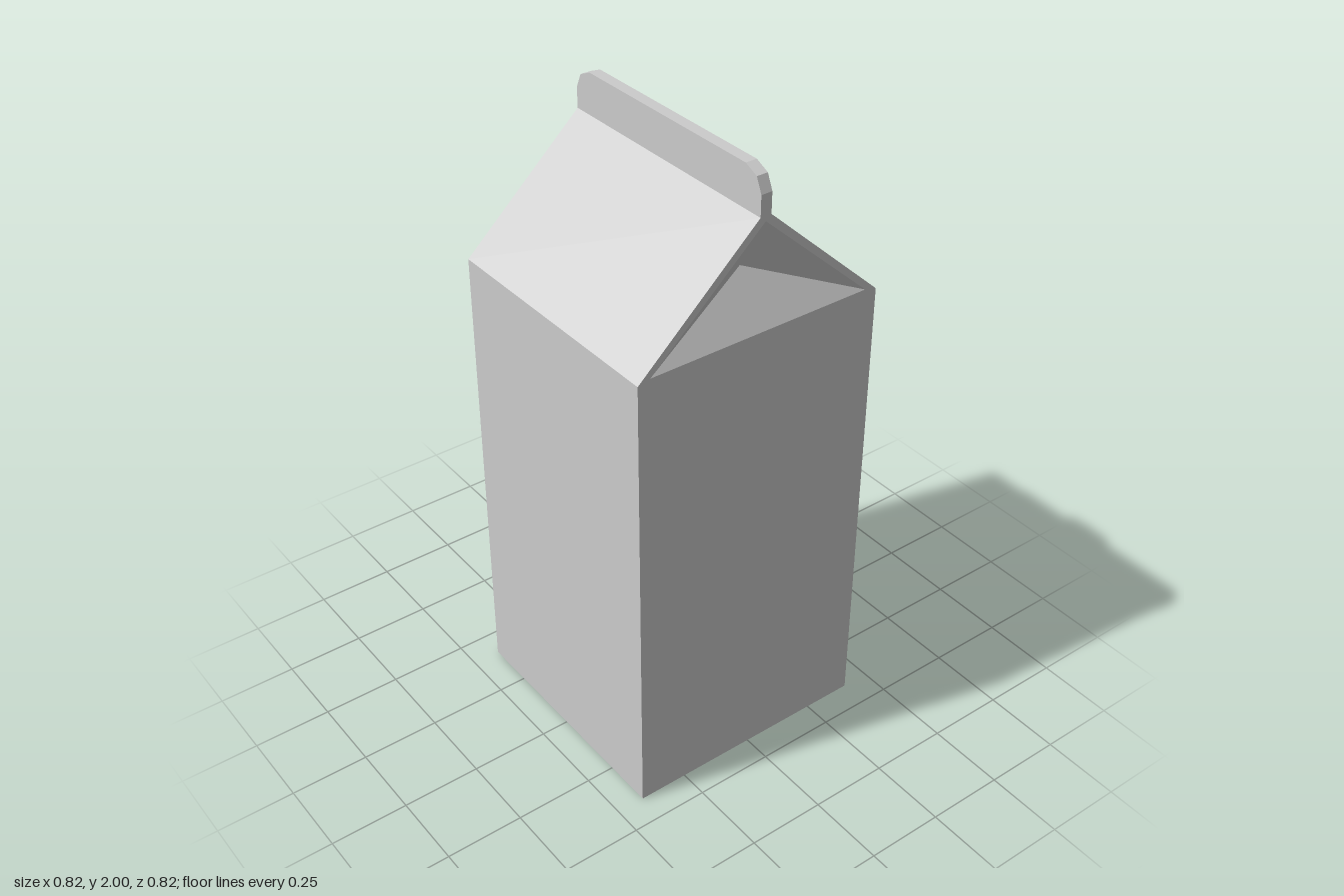
import * as THREE from 'three';

const HALF = 0.41;        // half width of the carton
const EAVE = 1.51;        // top of the walls
const RIDGE = 1.87;       // foot of the sealed fin
const FIN = 0.018;        // half thickness of the fin

const material = new THREE.MeshStandardMaterial({ color: 0xcccccc, flatShading: true });

function mesh(name, geometry, parent) {
  const m = new THREE.Mesh(geometry, material);
  m.name = name;
  parent.add(m);
  return m;
}

// Flat-shaded surface from a list of triangles, each with three corners
function triangles(list) {
  const g = new THREE.BufferGeometry();
  g.setAttribute('position', new THREE.Float32BufferAttribute(list.flat(2), 3));
  g.computeVertexNormals();
  return g;
}

function shapeOf(points) {
  return new THREE.Shape(points.map(([x, y]) => new THREE.Vector2(x, y)));
}

// One roof slope with one gable end; turned half round it gives the other pair
function roofHalf(name) {
  const half = new THREE.Group();
  half.name = name;

  // sloping panel
  const a = [-HALF, EAVE, HALF], b = [HALF, EAVE, HALF];
  const c = [HALF, RIDGE, FIN], d = [-HALF, RIDGE, FIN];
  mesh('roofPanel', triangles([[a, b, c], [a, c, d]]), half);

  // thin rim around the gable opening
  const rim = shapeOf([[-HALF, EAVE], [HALF, EAVE], [FIN, RIDGE], [-FIN, RIDGE]]);
  rim.holes.push(shapeOf([[-0.37, 1.52], [0, 1.855], [0.37, 1.52]]));
  const rimGeometry = new THREE.ShapeGeometry(rim).rotateY(Math.PI / 2).translate(HALF, 0, 0);
  mesh('gableRim', rimGeometry, half);

  // folded-in gusset
  const l = [HALF, 1.52, 0.37], r = [HALF, 1.52, -0.37];
  const top = [HALF, 1.855, 0], fold = [HALF - 0.1, 1.68, 0];
  mesh('gableFold', triangles([[l, r, fold], [l, fold, top], [fold, r, top]]), half);
  return half;
}

export function createModel() {
  const carton = new THREE.Group();
  carton.name = 'carton';

  // square body
  mesh('body', new THREE.BoxGeometry(2 * HALF, EAVE, 2 * HALF), carton).position.y = EAVE / 2;

  // gabled roof
  const front = roofHalf('roofFront');
  const back = roofHalf('roofBack');
  back.rotation.y = Math.PI;
  carton.add(front, back);

  // sealed fin with clipped top corners
  const side = [[HALF, RIDGE], [HALF, 1.935], [0.39, 1.98], [0.345, 2]];
  const mirrored = side.map(([x, y]) => [-x, y]).reverse();
  const finGeometry = new THREE.ExtrudeGeometry(shapeOf([...side, ...mirrored]), {
    depth: 2 * FIN, bevelEnabled: false,
  });
  mesh('topFin', finGeometry.translate(0, 0, -FIN), carton);

  // eight-sided screw cap standing square on the back slope
  const height = 0.059;
  const cap = mesh('cap', new THREE.CylinderGeometry(0.097, 0.097, height, 8), carton);
  const tilt = Math.atan2(RIDGE - EAVE, HALF - FIN);
  cap.rotation.x = -tilt;
  cap.position.set(0, 1.717 + Math.cos(tilt) * height / 2, -0.187 - Math.sin(tilt) * height / 2);

  return carton;
}
